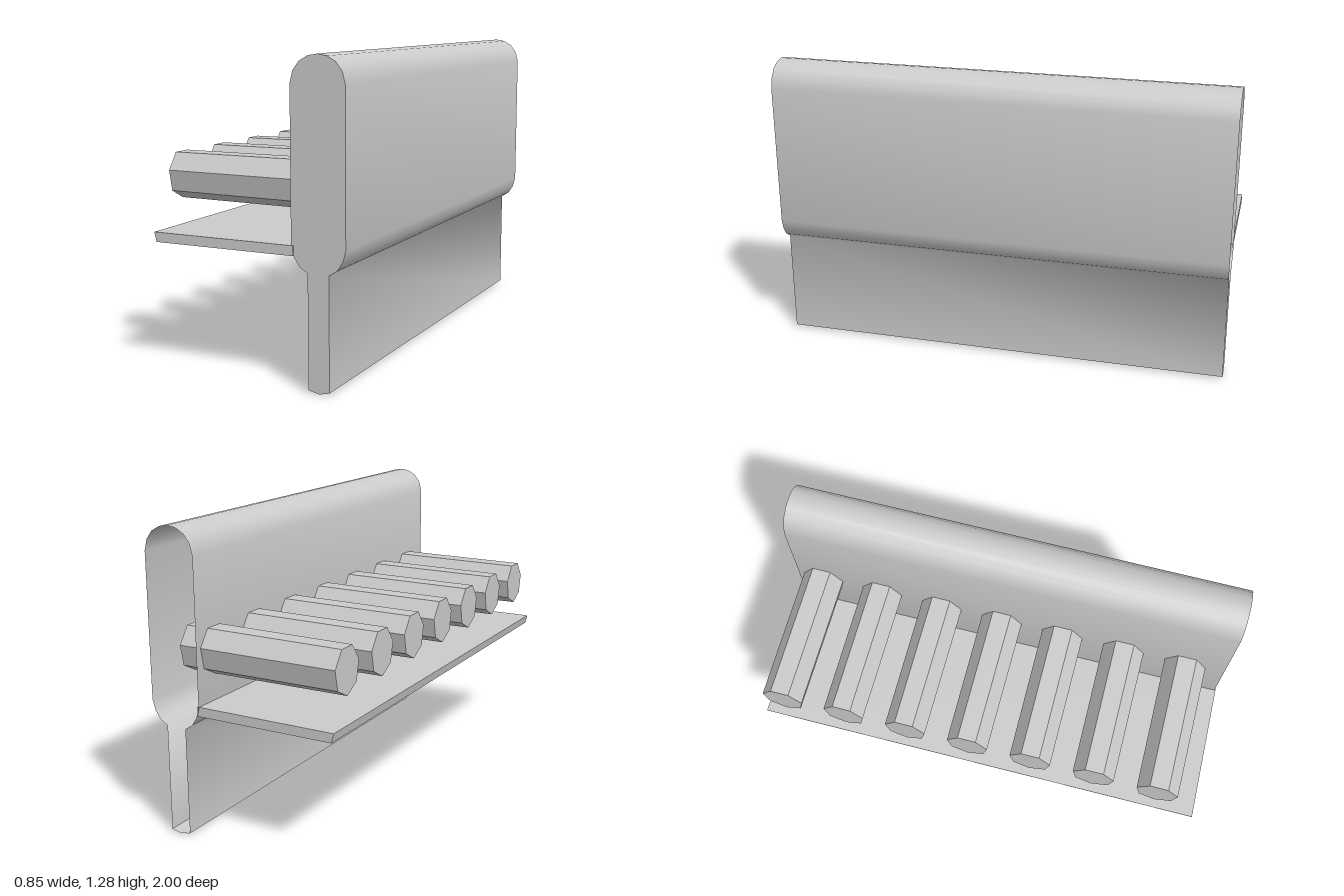
import * as THREE from 'three';
import { toCreasedNormals } from 'three/addons/utils/BufferGeometryUtils.js';

export function createModel() {
  const group = new THREE.Group();
  const smooth = new THREE.MeshStandardMaterial({ color: 0xcccccc, side: THREE.DoubleSide });
  const faceted = new THREE.MeshStandardMaterial({ color: 0xcccccc, flatShading: true, side: THREE.DoubleSide });
  const add = (name, geometry, material, parent = group) => {
    const mesh = new THREE.Mesh(geometry, material);
    mesh.name = name;
    parent.add(mesh);
    return mesh;
  };

  // Right half of the panel section (offset from its middle, height), bottom to top
  const cx = 0.305, back = -1, front = 0.985;
  const half = [
    [0.045, 0.01], [0.045, 0.465], [0.08, 0.487], [0.103, 0.522], [0.115, 0.565],
    [0.115, 1.175], [0.103, 1.222], [0.077, 1.257], [0.04, 1.278],
  ];
  const section = [
    [cx, 0],
    ...half.map(([x, y]) => [cx + x, y]),
    [cx, 1.285],
    ...half.slice().reverse().map(([x, y]) => [cx - x, y]),
  ];

  // Hollow panel wall, open at the back end
  const pos = [];
  section.forEach(([ax, ay], i) => {
    const [bx, by] = section[(i + 1) % section.length];
    pos.push(ax, ay, back, bx, by, back, bx, by, front);
    pos.push(ax, ay, back, bx, by, front, ax, ay, front);
  });
  const wall = new THREE.BufferGeometry();
  wall.setAttribute('position', new THREE.Float32BufferAttribute(pos, 3));
  add('panelWall', toCreasedNormals(wall, 1.2), smooth);

  // Flat cover on the front end of the panel
  const outline = new THREE.Shape(section.map(([x, y]) => new THREE.Vector2(x, y)));
  add('panelFrontCap', new THREE.ShapeGeometry(outline), smooth).position.z = front;

  // Thin shelf with a slanted outer edge
  const shelfSection = new THREE.Shape([
    new THREE.Vector2(-0.415, 0.527), new THREE.Vector2(0.2, 0.527),
    new THREE.Vector2(0.2, 0.567), new THREE.Vector2(-0.425, 0.567),
  ]);
  const shelf = new THREE.ExtrudeGeometry(shelfSection, { depth: 1.99, bevelEnabled: false });
  shelf.translate(0, 0, -0.995);
  // Front edge runs slightly askew
  const p = shelf.attributes.position;
  for (let i = 0; i < p.count; i++) {
    if (p.getZ(i) > 0) p.setZ(i, p.getX(i) < 0 ? 1 : 0.99);
  }
  shelf.computeVertexNormals();
  add('shelf', shelf, faceted);

  // Row of seven-sided pegs passing through the panel wall
  const pegs = new THREE.Group();
  pegs.name = 'pegs';
  group.add(pegs);
  const x0 = -0.418, x1 = 0.29;
  const peg = new THREE.CylinderGeometry(1, 1.03, x1 - x0, 7, 1, false, -Math.PI / 2);
  peg.rotateZ(Math.PI / 2);
  peg.scale(1, 0.101, 0.092);
  for (let i = 0; i < 7; i++) {
    add('peg', peg, faceted, pegs).position.set((x0 + x1) / 2, 0.78, -0.88 + i * 0.2815);
  }
  return group;
}
